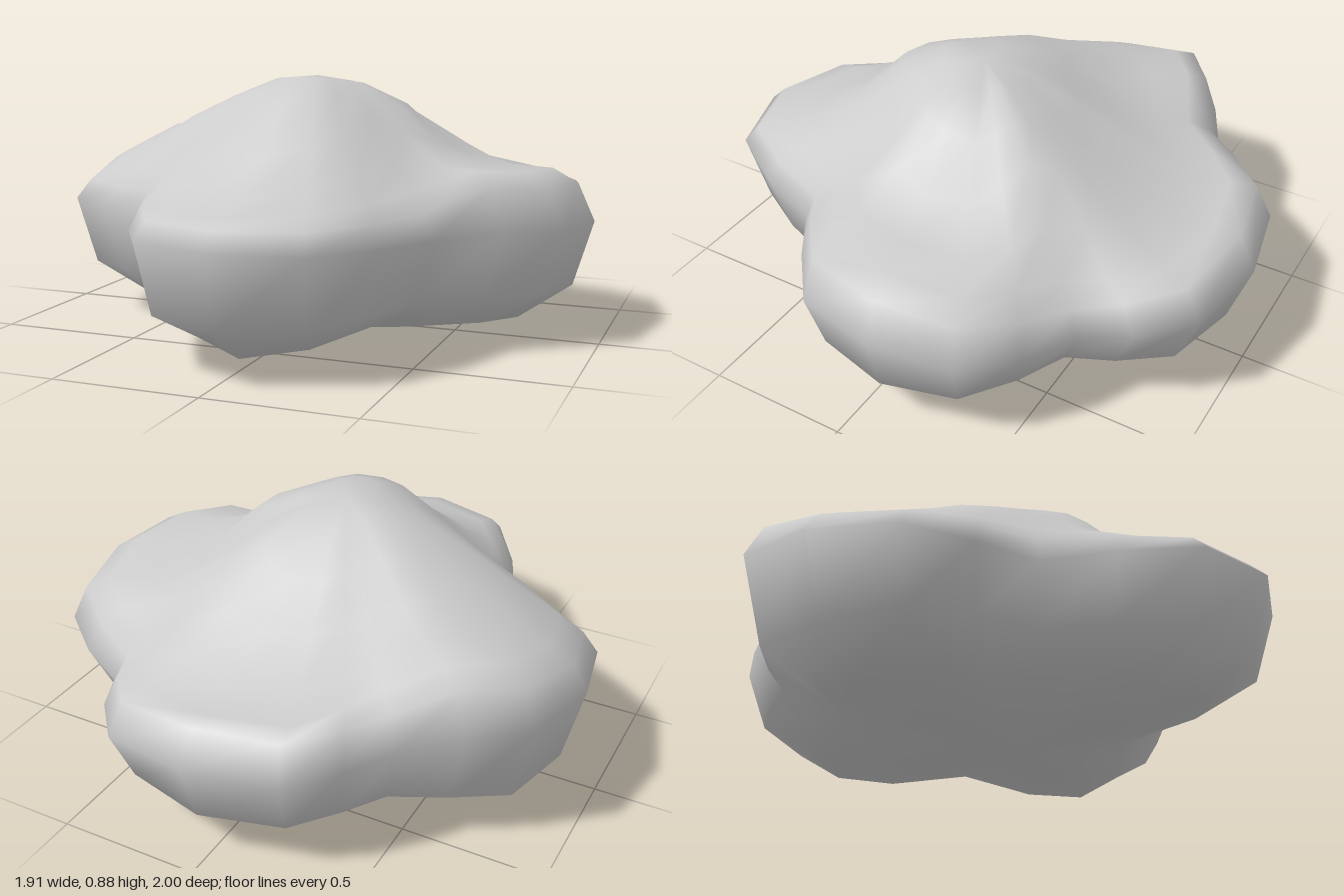
import * as THREE from 'three';

// Plan outline (x, z), clockwise from the back tip: four rounded lobes
const OUTLINE = [
  [0.02, -1], [0.33, -0.94], [0.47, -0.78], [0.55, -0.62], [0.73, -0.53], [0.9, -0.39],
  [0.955, -0.11], [0.9, 0.17], [0.73, 0.31], [0.54, 0.44], [0.44, 0.69], [0.3, 0.91],
  [0.02, 1], [-0.26, 0.91], [-0.4, 0.69], [-0.5, 0.45], [-0.7, 0.34], [-0.9, 0.2],
  [-0.96, -0.11], [-0.9, -0.42], [-0.72, -0.55], [-0.53, -0.65], [-0.43, -0.79], [-0.29, -0.94],
];

// Underside rings: [outline scale, height, inward pinch and lift between the lobe tips]
const UNDERSIDE = [[0, 0, 0, 0], [0.42, 0.015, 0.06, 0.01], [0.74, 0.05, 0.1, 0.04], [0.93, 0.175, 0.02, 0.02]];

// Upper rings: outline scales, and the heights at each along key directions
const SCALES = [1, 0.94, 0.85, 0.7, 0.5, 0.33, 0.17];
const PEAK = 0.885;
const PROFILES = [
  { at: 0, y: [0.40, 0.52, 0.51, 0.53, 0.62, 0.73, 0.835] }, // back lobe
  { at: 3, y: [0.34, 0.42, 0.48, 0.61, 0.73, 0.81, 0.86] }, // back left notch
  { at: 5, y: [0.37, 0.50, 0.54, 0.55, 0.64, 0.76, 0.845] }, // left lobe, low at the back
  { at: 6, y: [0.40, 0.53, 0.58, 0.59, 0.64, 0.79, 0.86] },
  { at: 8, y: [0.42, 0.56, 0.605, 0.61, 0.71, 0.82, 0.87] }, // left lobe, high in front
  { at: 9, y: [0.40, 0.48, 0.54, 0.62, 0.76, 0.84, 0.88] }, // front left notch
  { at: 12, y: [0.43, 0.485, 0.51, 0.54, 0.66, 0.82, 0.885] }, // front lobe
  { at: 13, y: [0.43, 0.485, 0.51, 0.55, 0.68, 0.82, 0.885] },
  { at: 15, y: [0.40, 0.50, 0.57, 0.66, 0.78, 0.845, 0.88] }, // front right notch
  { at: 17, y: [0.42, 0.49, 0.54, 0.62, 0.735, 0.81, 0.87] }, // right lobe, low in front
  { at: 18, y: [0.46, 0.54, 0.585, 0.64, 0.73, 0.81, 0.87] },
  { at: 19, y: [0.49, 0.61, 0.65, 0.655, 0.72, 0.80, 0.865] }, // right lobe, high at the back
  { at: 20, y: [0.47, 0.62, 0.66, 0.665, 0.71, 0.79, 0.86] },
  { at: 21, y: [0.42, 0.53, 0.57, 0.61, 0.69, 0.78, 0.855] }, // back right notch
  { at: 23, y: [0.40, 0.52, 0.52, 0.545, 0.64, 0.745, 0.84] },
];

// Height of upper ring k at outline point i, between its two key directions
function topHeight(i, k) {
  const n = PROFILES.length;
  const next = PROFILES.findIndex((p) => p.at > i);
  const b = PROFILES[next < 0 ? 0 : next];
  const a = PROFILES[next < 0 ? n - 1 : next - 1];
  const end = next < 0 ? OUTLINE.length : b.at;
  return THREE.MathUtils.lerp(a.y[k], b.y[k], (i - a.at) / (end - a.at));
}

function moundGeometry() {
  // 0 at the lobe tips, 1 in the notches
  const between = (i) => Math.abs(Math.sin((Math.PI * i) / 6));
  const rings = [
    ...UNDERSIDE.map(([s, y, pinch, lift]) => ({
      scale: (i) => s - pinch * between(i),
      height: (i) => y + lift * between(i),
    })),
    ...SCALES.map((s, k) => ({ scale: () => s, height: (i) => topHeight(i, k) })),
    { scale: () => 0, height: () => PEAK },
  ];
  const n = OUTLINE.length, last = rings.length - 1;
  const positions = [], index = [];

  // The end rings are single poles; the peak sits slightly forward
  rings.forEach(({ scale, height }, r) => {
    const count = r === 0 || r === last ? 1 : n;
    for (let i = 0; i < count; i++) {
      const [x, z] = OUTLINE[i];
      const s = scale(i);
      positions.push(x * s, height(i), z * s + (1 - s) * 0.04);
    }
  });

  const id = (r, i) => (r === 0 ? 0 : r === last ? 1 + (last - 1) * n : 1 + (r - 1) * n + (i % n));
  for (let r = 0; r < last; r++) {
    for (let i = 0; i < n; i++) {
      const a = id(r, i), b = id(r, i + 1), c = id(r + 1, i + 1), d = id(r + 1, i);
      if (a !== b) index.push(b, a, d);
      if (c !== d) index.push(b, d, c);
    }
  }

  const geometry = new THREE.BufferGeometry();
  geometry.setAttribute('position', new THREE.Float32BufferAttribute(positions, 3));
  geometry.setIndex(index);
  geometry.computeVertexNormals();
  return geometry;
}

export function createModel() {
  const group = new THREE.Group();
  group.name = 'lobedMound';
  const body = new THREE.Mesh(moundGeometry(), new THREE.MeshStandardMaterial({ color: 0xcccccc }));
  body.name = 'moundBody';
  group.add(body);
  return group;
}
